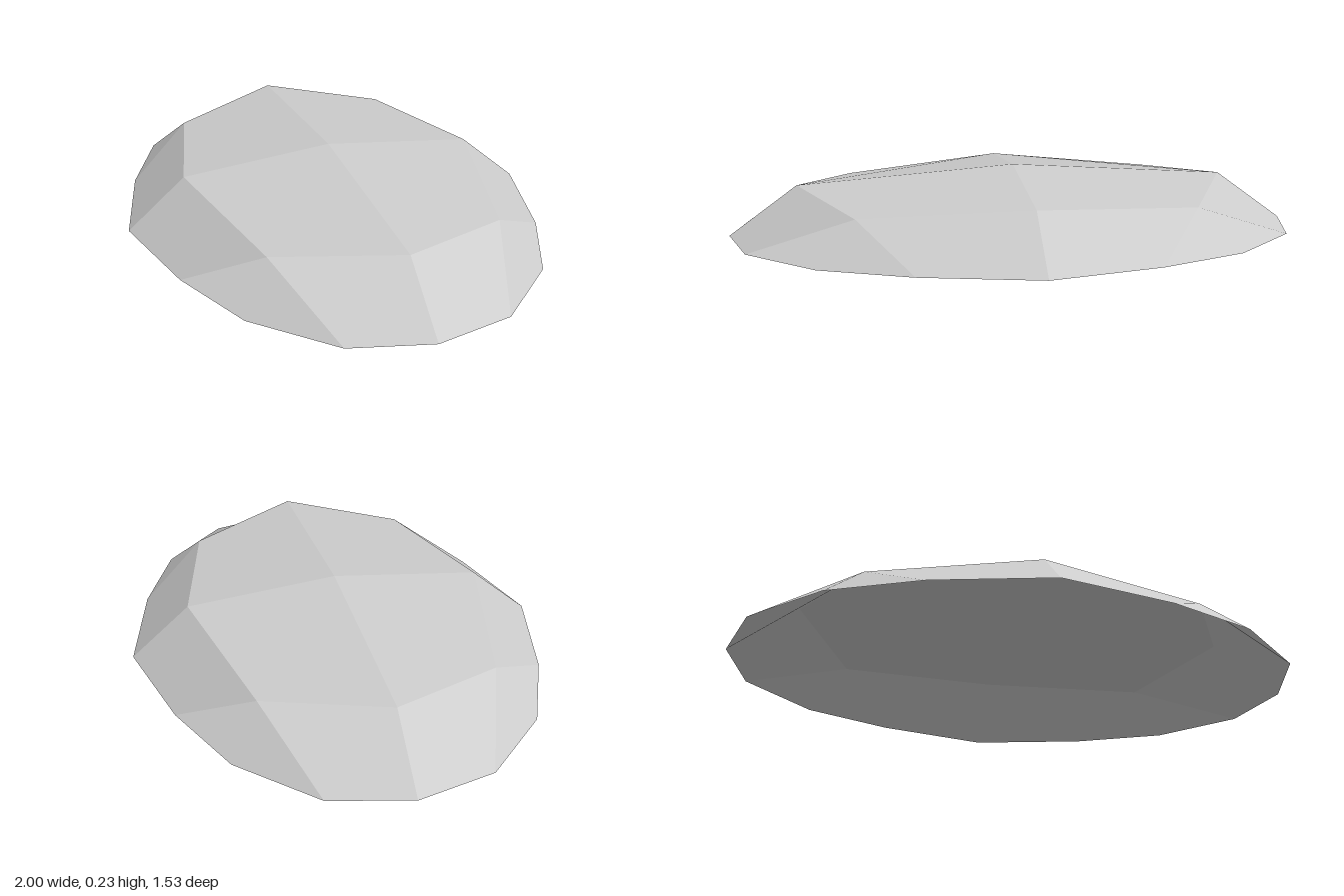
import * as THREE from 'three';

// One half of the faceted shell; the other half is this half turned 180 degrees about y.
const apex = [0, 0.235, 0];
const ringHalf = [[0.73, 0.18, 0.31], [0.38, 0.14, 0.61], [-0.22, 0.18, 0.5], [-0.71, 0.14, 0.145]];
const baseHalf = [
  [1, 0, 0.125], [0.955, 0, 0.41], [0.78, 0, 0.64], [0.455, 0, 0.765],
  [0.11, 0, 0.765], [-0.3, 0, 0.695], [-0.64, 0, 0.44], [-0.875, 0, 0.19],
];
const turn = ([x, y, z]) => [-x, y, -z];
const ring = [...ringHalf, ...ringHalf.map(turn)];
const base = [...baseHalf, ...baseHalf.map(turn)];

// Flat panels from corner loops, each with a single normal.
function panelGeometry(panels) {
  const positions = [], normals = [];
  for (const panel of panels) {
    const corners = panel.map((p) => new THREE.Vector3(...p));
    const normal = new THREE.Vector3();
    corners.forEach((p, i) => normal.add(p.clone().cross(corners[(i + 1) % corners.length])));
    normal.normalize();
    for (let i = 1; i < corners.length - 1; i++) {
      for (const p of [corners[0], corners[i], corners[i + 1]]) {
        positions.push(p.x, p.y, p.z);
        normals.push(normal.x, normal.y, normal.z);
      }
    }
  }
  const geometry = new THREE.BufferGeometry();
  geometry.setAttribute('position', new THREE.Float32BufferAttribute(positions, 3));
  geometry.setAttribute('normal', new THREE.Float32BufferAttribute(normals, 3));
  return geometry;
}

export function createModel() {
  const grey = new THREE.MeshStandardMaterial({ color: 0xcccccc, side: THREE.DoubleSide });
  grey.name = 'light grey';
  const model = new THREE.Group();
  model.name = 'facetedMound';
  const r = (i) => ring[i % 8];
  const b = (i) => base[i % 16];

  // Four shallow panels meeting at the apex, each split across its fold
  const crown = [];
  for (let i = 0; i < 8; i += 2) crown.push([r(i + 2), r(i + 1), r(i), apex]);

  // Sloping walls down to the open rim
  const walls = [];
  for (let i = 0; i < 4; i++) {
    const k = i * 4;
    const high = r(i * 2), low = r(i * 2 + 1);
    walls.push([low, high, b(k + 1), b(k + 2)]);
    walls.push([low, b(k + 2), b(k + 3), b(k + 4)]);
    walls.push([low, b(k + 4), b(k + 5), r(i * 2 + 2)]);
  }

  for (const [name, panels] of [['crown', crown], ['walls', walls]]) {
    const mesh = new THREE.Mesh(panelGeometry(panels), grey);
    mesh.name = name;
    model.add(mesh);
  }
  return model;
}
